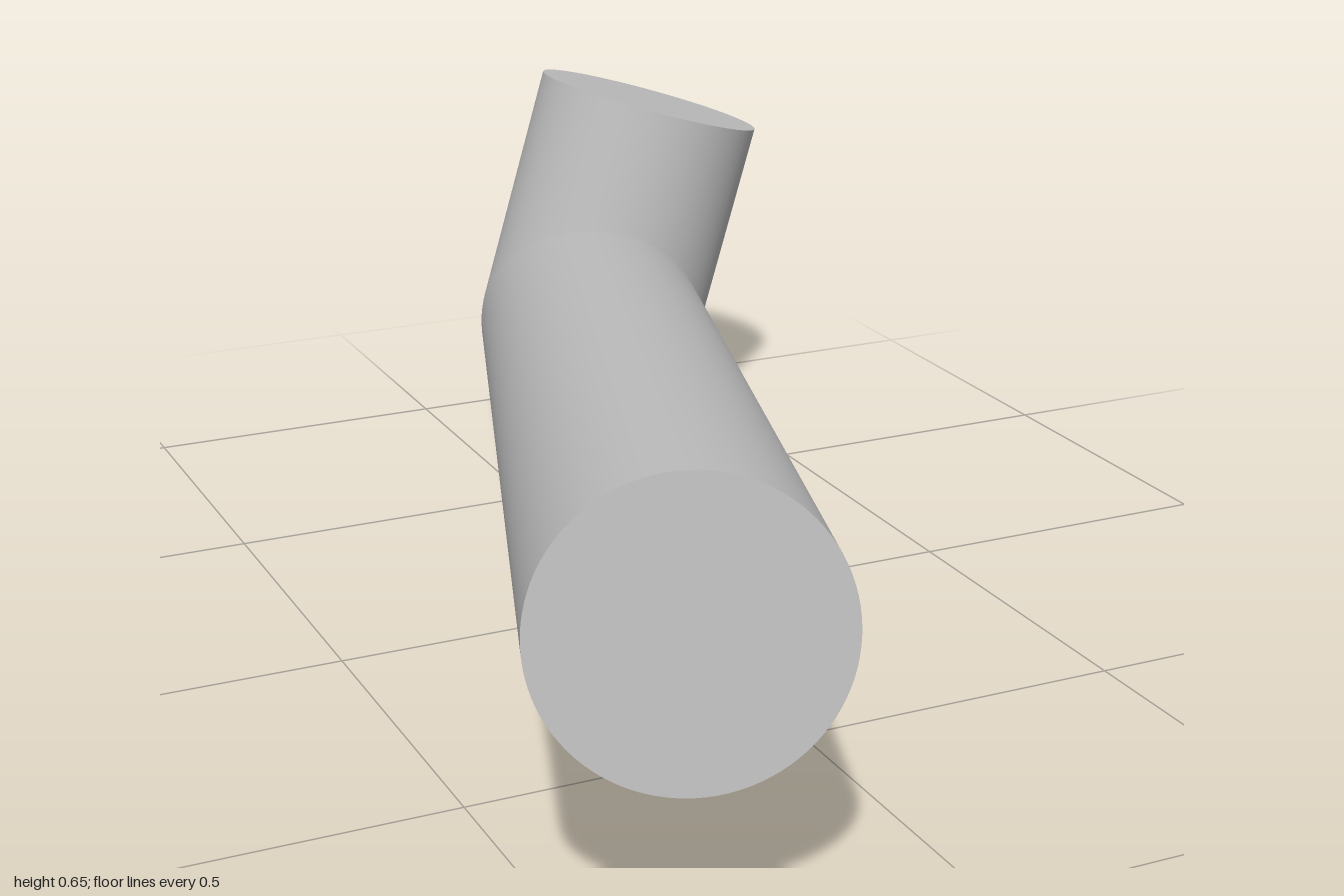
import * as THREE from 'three';

const R = 0.196;

export function createModel() {
  const group = new THREE.Group();
  group.name = 'bentRod';
  const grey = new THREE.MeshStandardMaterial({ color: 0xc0c0c0 });
  grey.name = 'light grey';

  const joint = new THREE.Vector3(0.25, R, -0.804);

  // Round rod running from the joint to the given end centre
  function rod(name, end) {
    const dir = end.clone().sub(joint);
    const mesh = new THREE.Mesh(new THREE.CylinderGeometry(R, R, dir.length(), 96), grey);
    mesh.name = name;
    mesh.position.copy(joint).addScaledVector(dir, 0.5);
    mesh.quaternion.setFromUnitVectors(new THREE.Vector3(0, 1, 0), dir.normalize());
    group.add(mesh);
  }
  rod('longRod', new THREE.Vector3(-0.378, 0.398, 0.93));
  rod('shortRod', new THREE.Vector3(0.37, 0.595, -0.804));

  // Ball that rounds the elbow
  const ball = new THREE.Mesh(new THREE.SphereGeometry(R, 96, 48), grey);
  ball.name = 'elbowBall';
  ball.position.copy(joint);
  group.add(ball);

  return group;
}
